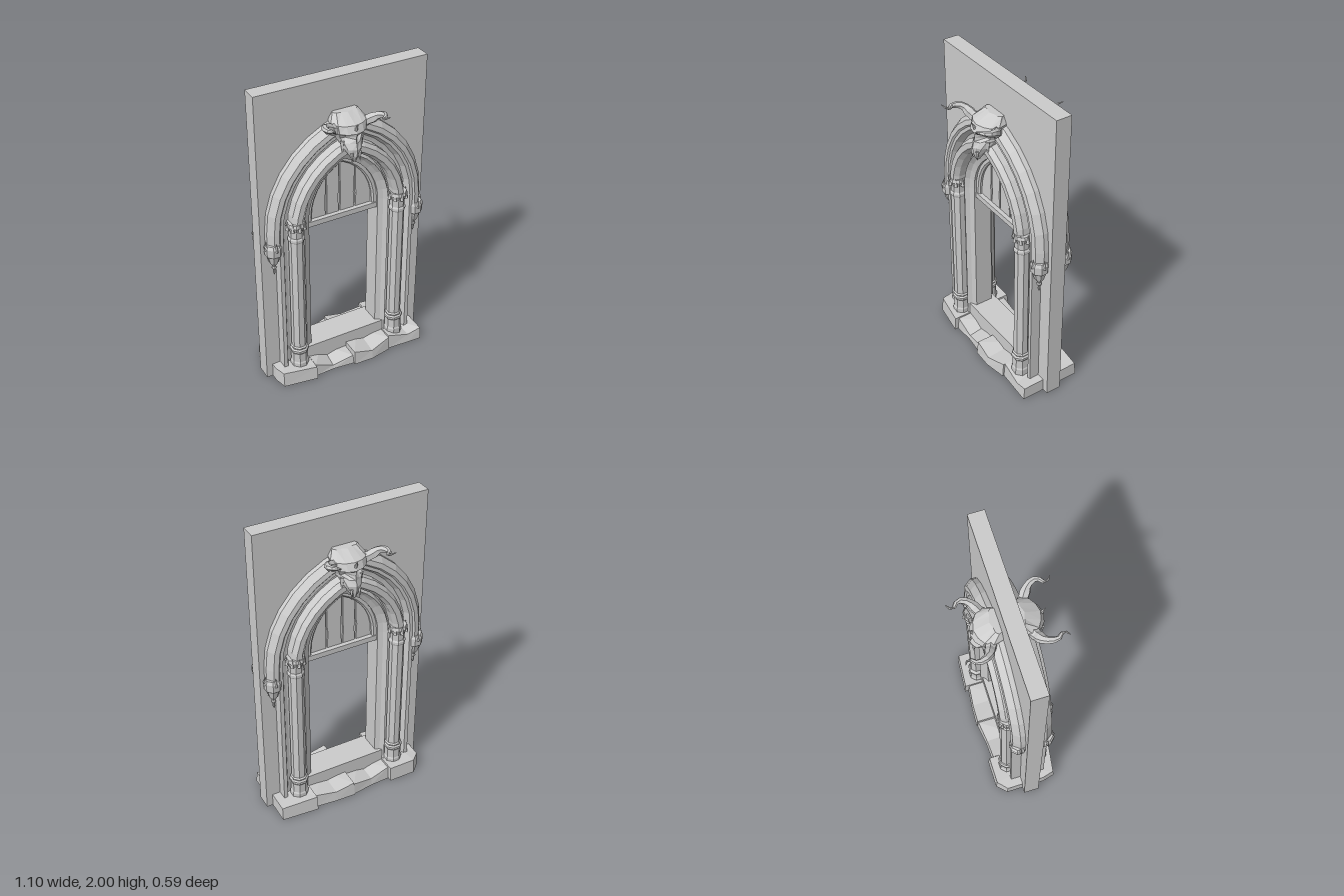
import * as THREE from 'three';

const SPRING = 1.12, C = 0.146; // springing height and centre offset of the pointed arch
const material = new THREE.MeshStandardMaterial({ color: 0xcccccc, flatShading: true });

function add(parent, name, geometry, x = 0, y = 0, z = 0) {
  const mesh = new THREE.Mesh(geometry, material);
  mesh.name = name;
  mesh.position.set(x, y, z);
  parent.add(mesh);
  return mesh;
}

// Solid skin over a list of equal closed rings, capped at both ends
function loft(rings) {
  const n = rings[0].length, pos = rings.flat().flat(), index = [];
  for (let i = 0; i < rings.length - 1; i++) {
    for (let j = 0; j < n; j++) {
      const a = i * n + j, b = i * n + (j + 1) % n;
      index.push(a, b, b + n, a, b + n, a + n);
    }
  }
  [0, rings.length - 1].forEach((r, end) => {
    const centre = pos.length / 3;
    for (let k = 0; k < 3; k++) pos.push(rings[r].reduce((s, p) => s + p[k], 0) / n);
    for (let j = 0; j < n; j++) {
      const a = r * n + j, b = r * n + (j + 1) % n;
      index.push(...(end ? [a, b, centre] : [b, a, centre]));
    }
  });
  // Turn the faces outward using the signed volume
  const v = i => new THREE.Vector3().fromArray(pos, i * 3);
  let volume = 0;
  for (let i = 0; i < index.length; i += 3) volume += v(index[i]).dot(v(index[i + 1]).cross(v(index[i + 2])));
  if (volume < 0) index.reverse();
  const g = new THREE.BufferGeometry();
  g.setAttribute('position', new THREE.Float32BufferAttribute(pos, 3));
  g.setIndex(index);
  const flat = g.toNonIndexed();
  flat.computeVertexNormals();
  return flat;
}

function archPoint(o, t) {
  const r = o + C, a = t * Math.acos(C / r);
  return [r * Math.cos(a) - C, SPRING + r * Math.sin(a)];
}
const archTop = (x, o) => SPRING + Math.sqrt(Math.max(0, (o + C) ** 2 - (Math.abs(x) + C) ** 2));

// Moulding: a profile of [half width, z], mirrored front to back, swept up, over and down
function moulding(profile, footY, steps = 7) {
  const section = [...profile, ...profile.map(([o, z]) => [o, -z]).reverse()];
  const half = [section.map(([o, z]) => [o, footY, z])];
  for (let i = 0; i <= steps; i++) {
    half.push(section.map(([o, z]) => [...archPoint(o, i / steps), z]));
  }
  const other = half.slice(0, -1).reverse().map(ring => ring.map(([x, y, z]) => [-x, y, z]));
  return loft([...half, ...other]);
}

function extrude(shape, depth) {
  return new THREE.ExtrudeGeometry(shape, { depth, bevelEnabled: false }).translate(0, 0, -depth / 2);
}

function archOutline(PathType, o, footY) {
  const right = [[o, footY]];
  for (let i = 0; i <= 7; i++) right.push(archPoint(o, i / 7));
  const left = right.slice(0, -1).reverse().map(([x, y]) => [-x, y]);
  return new PathType([...right, ...left].map(p => new THREE.Vector2(...p)));
}

function lathe(points) {
  return new THREE.LatheGeometry(points.map(p => new THREE.Vector2(...p)), 8, Math.PI / 8);
}

function horn(points, radius) {
  const curve = new THREE.CatmullRomCurve3(points.map(p => new THREE.Vector3(...p)));
  const steps = 10, { normals, binormals } = curve.computeFrenetFrames(steps);
  const rings = [];
  for (let i = 0; i <= steps; i++) {
    const p = curve.getPointAt(i / steps);
    const r = radius * (1 - 0.93 * (i / steps) ** 1.3) * (i < 5 && i % 2 ? 1.18 : 1);
    rings.push([0, 1, 2, 3, 4, 5].map(k => p.clone()
      .addScaledVector(normals[i], r * Math.cos(k * Math.PI / 3))
      .addScaledVector(binormals[i], r * Math.sin(k * Math.PI / 3)).toArray()));
  }
  return loft(rings);
}

function hornedSkull() {
  const group = new THREE.Group();
  // Rows: height, half width, back z, front z, eye socket depth
  const rows = [[1.515, 0.006, 0.17, 0.19, 0], [1.56, 0.032, 0.15, 0.21, 0], [1.605, 0.058, 0.1, 0.215, 0],
    [1.64, 0.072, 0.05, 0.205, 0.01], [1.665, 0.088, 0.04, 0.2, 0.045], [1.69, 0.1, 0.04, 0.205, 0.035],
    [1.705, 0.108, 0.04, 0.21, 0], [1.75, 0.112, 0.04, 0.19, 0], [1.795, 0.08, 0.04, 0.1, 0]];
  add(group, 'skull', loft(rows.map(([y, w, b, f, eye]) => {
    const right = [[0.45 * w, y, f - 0.012 - eye], [0.8 * w, y, f - (f - b) * 0.25 - eye * 0.4],
      [w, y, b + (f - b) * 0.45], [0.85 * w, y, b]];
    return [[0, y, f], ...right, ...right.map(([x, yy, z]) => [-x, yy, z]).reverse()];
  })));
  add(group, 'leftHorn', horn([[0.07, 1.71, 0.1], [0.12, 1.735, 0.135], [0.165, 1.77, 0.175],
    [0.175, 1.785, 0.225], [0.135, 1.79, 0.265], [0.16, 1.81, 0.295]], 0.034));
  add(group, 'rightHorn', horn([[-0.07, 1.71, 0.11], [-0.13, 1.735, 0.135], [-0.18, 1.775, 0.165],
    [-0.195, 1.785, 0.225], [-0.165, 1.79, 0.265], [-0.2, 1.81, 0.29]], 0.034));
  add(group, 'browSpike', new THREE.ConeGeometry(0.014, 0.07, 5), 0, 1.745, 0.205).rotation.x = 0.5;
  for (const s of [-1, 1]) {
    add(group, 'cheekFang', new THREE.ConeGeometry(0.016, 0.1, 4), s * 0.06, 1.6, 0.15).rotation.x = Math.PI;
    add(group, 'frontFang', new THREE.ConeGeometry(0.011, 0.07, 4), s * 0.026, 1.55, 0.2).rotation.x = Math.PI;
  }
  return group;
}

// Rough base stone: plan outline of [x, z, top height], slightly narrower on top
function stone(outline) {
  const cx = outline.reduce((s, p) => s + p[0], 0) / outline.length;
  return loft([outline.map(([x, z]) => [x, 0, z]),
    outline.map(([x, z, h]) => [cx + (x - cx) * 0.985, h, z * 0.96])]);
}

export function createModel() {
  const model = new THREE.Group();
  model.name = 'archedDoorway';

  // Wall slab with pointed opening
  const slab = new THREE.Shape([[-0.55, 0], [0.55, 0], [0.55, 2], [-0.55, 2]].map(p => new THREE.Vector2(...p)));
  slab.holes.push(archOutline(THREE.Path, 0.27, 0.05));
  add(model, 'wall', extrude(slab, 0.1));

  // Stepped jambs, roll moulding and hood moulding
  add(model, 'jambs', moulding([[0.235, 0.06], [0.265, 0.075], [0.285, 0.1], [0.3, 0.07], [0.39, 0.07],
    [0.41, 0.075], [0.43, 0.115], [0.455, 0.115], [0.455, 0.04]], 0.02));
  add(model, 'rollMoulding', moulding([[0.308, 0.06], [0.308, 0.125], [0.328, 0.155], [0.362, 0.155],
    [0.382, 0.125], [0.382, 0.06]], 1.15));
  add(model, 'hoodMoulding', moulding([[0.445, 0.04], [0.445, 0.11], [0.46, 0.125], [0.49, 0.12],
    [0.52, 0.08], [0.52, 0.04]], 1.04));

  // Boarded panel in the arch head
  add(model, 'panelFrame', moulding([[0.205, 0.035], [0.215, 0.045], [0.245, 0.045]], 1.06));
  add(model, 'panelBacking', extrude(archOutline(THREE.Shape, 0.225, 1.07), 0.02));
  add(model, 'panelRail', new THREE.BoxGeometry(0.47, 0.035, 0.1), 0, 1.073, 0);
  const cuts = [-0.21, -0.1, -0.01, 0.095, 0.21];
  for (let i = 0; i < 4; i++) {
    const a = cuts[i] + 0.004, b = cuts[i + 1] - 0.004, board = new THREE.Shape();
    board.moveTo(a, 1.08);
    board.lineTo(b, 1.08);
    board.lineTo(b - 0.006, 1.2); // worn edge
    board.lineTo(b, 1.24);
    for (let k = 0; k <= 6; k++) {
      const x = b + (a - b) * k / 6;
      board.lineTo(x, Math.max(1.25, archTop(x, 0.215)));
    }
    board.lineTo(a + 0.004, 1.17);
    add(model, 'panelBoard', extrude(board, 0.045));
  }

  // Sill and base stones
  add(model, 'sill', new THREE.BoxGeometry(0.55, 0.13, 0.18), 0, 0.105, 0);
  [[[-0.51, 0.1, 0.095], [-0.49, 0.18, 0.1], [-0.27, 0.215, 0.09], [-0.27, -0.22, 0.1], [-0.45, -0.22, 0.1], [-0.51, -0.16, 0.09]],
    [[-0.27, 0.19, 0.085], [-0.14, 0.185, 0.025], [0, 0.2, 0.06], [0, -0.215, 0.08], [-0.14, -0.195, 0.05], [-0.27, -0.19, 0.09]],
    [[0, 0.215, 0.095], [0.13, 0.22, 0.06], [0.27, 0.195, 0.095], [0.27, -0.2, 0.09], [0.13, -0.215, 0.07], [0, -0.22, 0.095]],
    [[0.27, 0.185, 0.1], [0.42, 0.195, 0.06], [0.51, 0.2, 0.085], [0.51, -0.205, 0.09], [0.27, -0.225, 0.1]],
  ].forEach(outline => add(model, 'baseStone', stone(outline)));

  // Columns and hanging corbels at all four corners
  const column = lathe([[0, 0.06], [0.058, 0.06], [0.058, 0.12], [0.053, 0.13], [0.053, 0.195], [0.06, 0.205],
    [0.06, 0.22], [0.051, 0.23], [0.055, 0.24], [0.047, 0.25], [0.046, 1.04], [0.052, 1.05], [0.052, 1.065],
    [0.045, 1.075], [0.047, 1.12], [0.062, 1.155], [0.056, 1.175], [0, 1.175]]);
  const corbel = lathe([[0, 0.82], [0.008, 0.84], [0.008, 0.865], [0.017, 0.875], [0.011, 0.89], [0.03, 0.92],
    [0.043, 0.965], [0.053, 0.975], [0.056, 1.03], [0.046, 1.05], [0, 1.05]]);
  for (const sx of [-1, 1]) {
    for (const sz of [-1, 1]) {
      add(model, 'column', column, sx * 0.345, 0, sz * 0.108);
      add(model, 'corbel', corbel, sx * 0.483, 0, sz * 0.083);
      for (let k = 0; k < 5; k++) {
        const a = k * Math.PI / 4, x = Math.cos(a), z = Math.sin(a) * sz;
        add(model, 'capitalLeaf', new THREE.ConeGeometry(0.014, 0.06, 4), sx * 0.345 + x * 0.055, 1.16, sz * 0.108 + z * 0.055);
        if (k % 2 === 0) {
          add(model, 'corbelLeaf', new THREE.ConeGeometry(0.014, 0.06, 4), sx * 0.483 + x * 0.046, 1.045, sz * 0.083 + z * 0.046);
        }
      }
    }
  }

  // Horned skull keystones, front and back
  for (const s of [1, -1]) {
    const skull = hornedSkull();
    skull.name = s > 0 ? 'frontSkull' : 'backSkull';
    skull.scale.z = s;
    model.add(skull);
  }
  return model;
}
